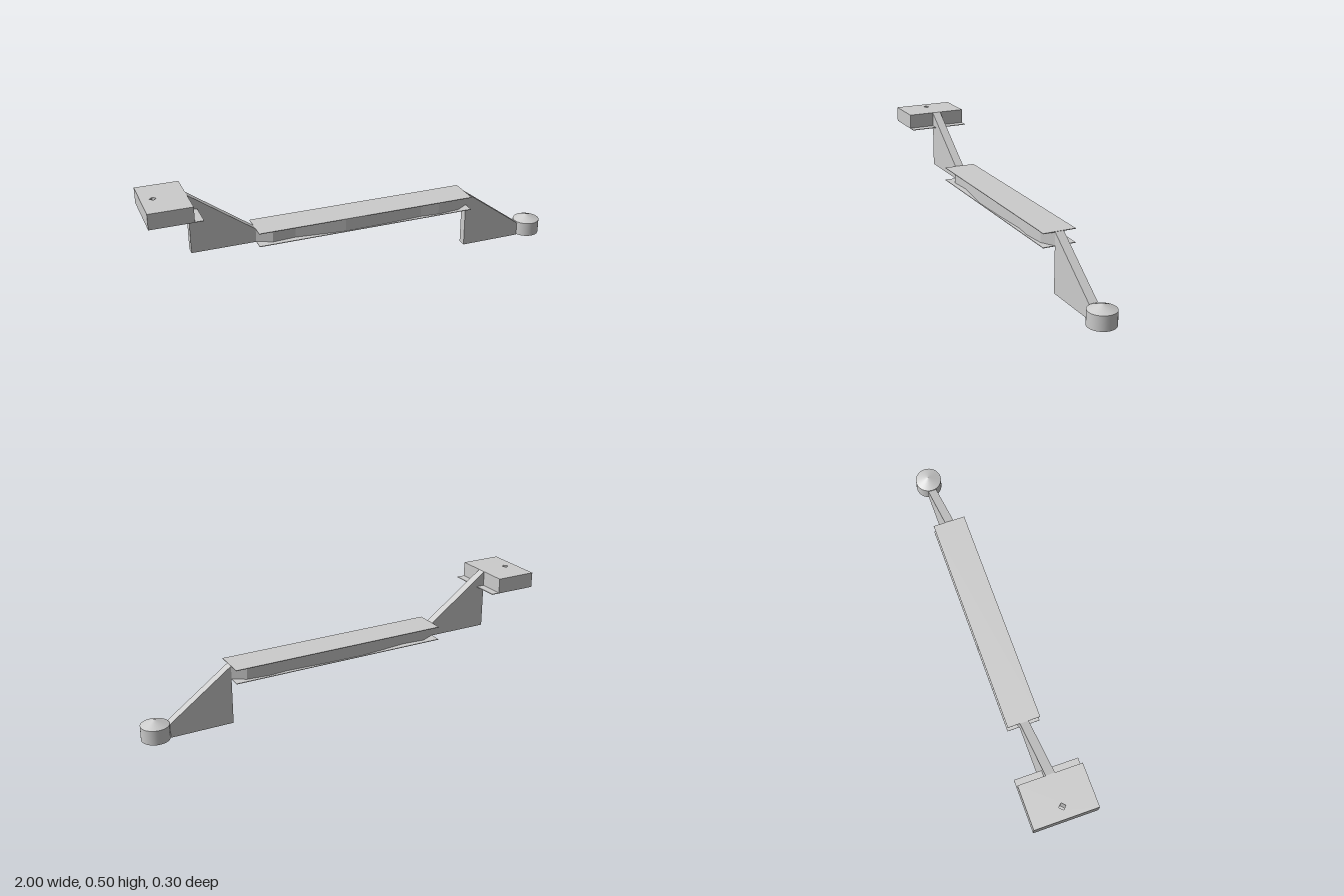
import * as THREE from 'three';

const material = new THREE.MeshStandardMaterial({ color: 0xcccccc, flatShading: true });
const smooth = new THREE.MeshStandardMaterial({ color: 0xcccccc });

function add(group, name, geometry, x = 0, y = 0, z = 0, mat = material) {
  const mesh = new THREE.Mesh(geometry, mat);
  mesh.name = name;
  mesh.position.set(x, y, z);
  group.add(mesh);
  return mesh;
}

const outline = (points) => new THREE.Shape(points.map(([x, y]) => new THREE.Vector2(x, y)));
const extrude = (shape, depth) =>
  new THREE.ExtrudeGeometry(shape, { depth, bevelEnabled: false, curveSegments: 2 });

// Plan shape (x, z) extruded upward from y = 0
const slab = (shape, height) => extrude(shape, height).rotateX(-Math.PI / 2);

export function createModel() {
  const model = new THREE.Group();
  model.name = 'steppedTrack';

  // Upper platform with a small recess, on a floor plate that juts out
  const platform = outline([[-1, -0.148], [-0.8, -0.148], [-0.8, 0.148], [-1, 0.148]]);
  const recess = new THREE.Path();
  recess.absarc(-0.945, 0, 0.016, 0, Math.PI * 2, true);
  platform.holes.push(recess);
  add(model, 'platform', slab(platform, 0.071), 0, 0.431);
  add(model, 'platformFloor', new THREE.BoxGeometry(0.24, 0.003, 0.296), -0.88, 0.4295);

  // Two identical narrow ramps with solid sides
  const ramp = extrude(outline([[0, 0], [0.3, 0], [0.3, 0.066], [0, 0.283]]), 0.042);
  ramp.translate(0, 0, -0.021);
  add(model, 'upperRamp', ramp, -0.8, 0.219);
  add(model, 'lowerRamp', ramp, 0.57, 0.001);

  // Long bridge: overhanging deck and floor with wavy walls between them
  const wall = [
    [-0.5, 0.021], [-0.43, 0.055], [-0.32, 0.047], [-0.19, 0.062], [-0.08, 0.074],
    [0.11, 0.07], [0.31, 0.06], [0.4, 0.068], [0.51, 0.058], [0.57, 0.021],
  ];
  const mirrored = wall.map(([x, z]) => [x, -z]).reverse();
  add(model, 'bridgeWalls', slab(outline([...wall, ...mirrored]), 0.062), 0, 0.221);
  for (const [name, y] of [['bridgeFloor', 0.2195], ['bridgeDeck', 0.2835]]) {
    add(model, name, new THREE.BoxGeometry(1.07, 0.003, 0.157), 0.035, y, -0.001);
  }

  // Round end post with a shallow conical cap
  add(model, 'endPost', new THREE.CylinderGeometry(0.065, 0.065, 0.069, 32), 0.933, 0.0385, 0, smooth);
  add(model, 'endPostCap', new THREE.ConeGeometry(0.065, 0.027, 32), 0.933, 0.0865, 0, smooth);

  return model;
}
